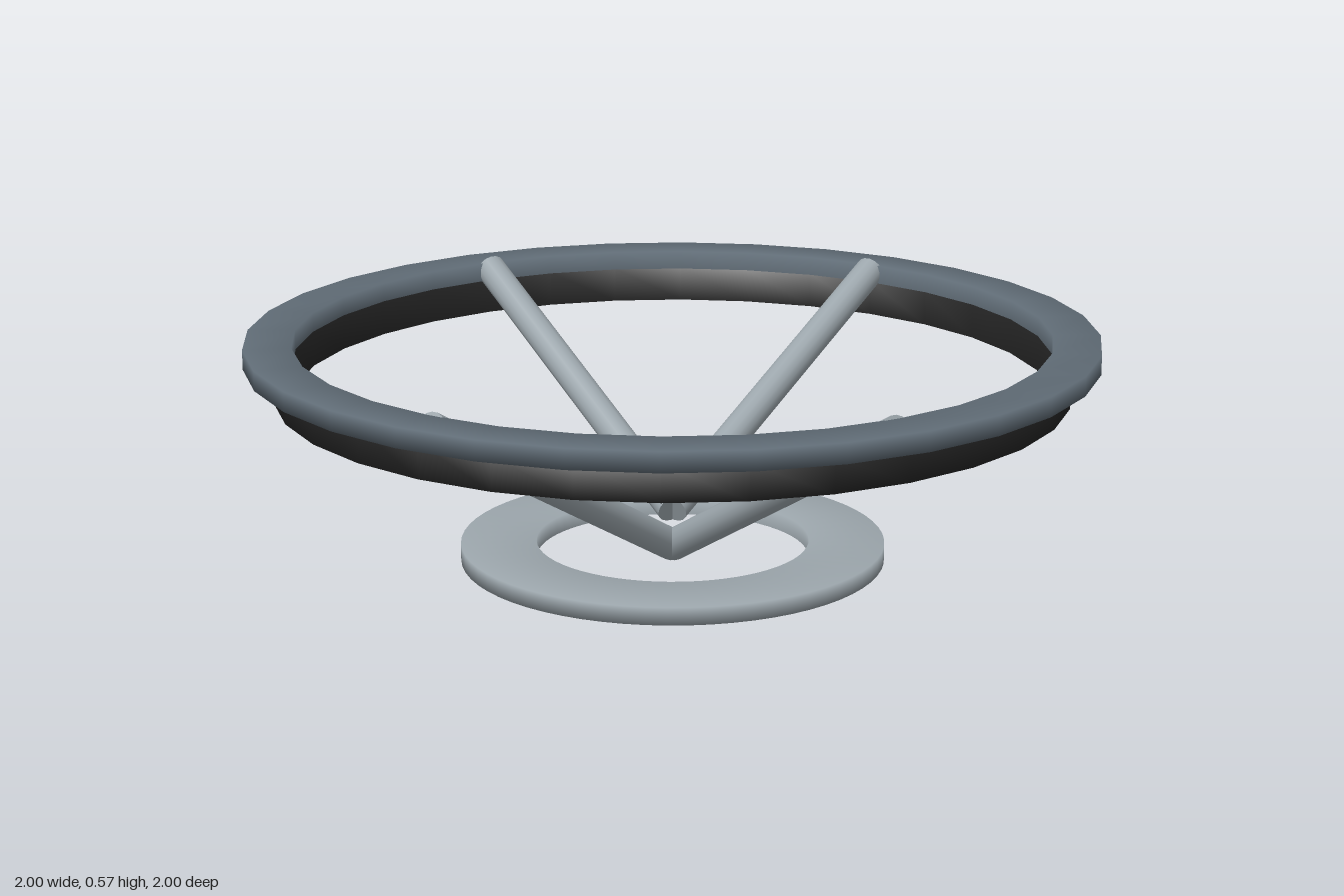
import * as THREE from 'three';

const mat = (name, color) => {
  const m = new THREE.MeshStandardMaterial({ color });
  m.name = name;
  return m;
};

// Flat ring with a rectangular section, softly shaded over its edges
function ring(name, inner, outer, y0, y1, segments, material) {
  const profile = [[inner, y0], [outer, y0], [outer, y1], [inner, y1], [inner, y0]]
    .map(([r, y]) => new THREE.Vector2(r, y));
  const mesh = new THREE.Mesh(new THREE.LatheGeometry(profile, segments), material);
  mesh.name = name;
  return mesh;
}

// Round bar between two points
function bar(name, from, to, radius, material) {
  const dir = to.clone().sub(from);
  const mesh = new THREE.Mesh(new THREE.CylinderGeometry(radius, radius, dir.length(), 16), material);
  mesh.position.copy(from).addScaledVector(dir, 0.5);
  mesh.quaternion.setFromUnitVectors(new THREE.Vector3(0, 1, 0), dir.normalize());
  mesh.name = name;
  return mesh;
}

export function createModel() {
  const group = new THREE.Group();
  group.name = 'spokedWheelTable';
  const steel = mat('blue grey steel', 0x606c76);
  const metal = mat('light grey metal', 0x9ca6ac);
  const black = mat('black rubber', 0x222222);

  // Upper rim, the dark band under it and the foot ring
  group.add(ring('rim', 0.888, 1, 0.512, 0.558, 32, steel));
  group.add(ring('underBand', 0.888, 0.932, 0.428, 0.512, 32, black));
  group.add(ring('footRing', 0.325, 0.505, 0.01, 0.052, 64, metal));

  // Four spokes; the rear pair meets higher than the front pair
  for (const side of [1, -1]) {
    const sideName = side > 0 ? 'Left' : 'Right';
    group.add(bar('frontSpoke' + sideName, new THREE.Vector3(0, 0.035, 0),
      new THREE.Vector3(side * 0.492, 0.533, 0.755), 0.038, metal));
    group.add(bar('backSpoke' + sideName, new THREE.Vector3(0, 0.13, 0.01),
      new THREE.Vector3(side * 0.492, 0.54, -0.755), 0.038, metal));
  }
  return group;
}
